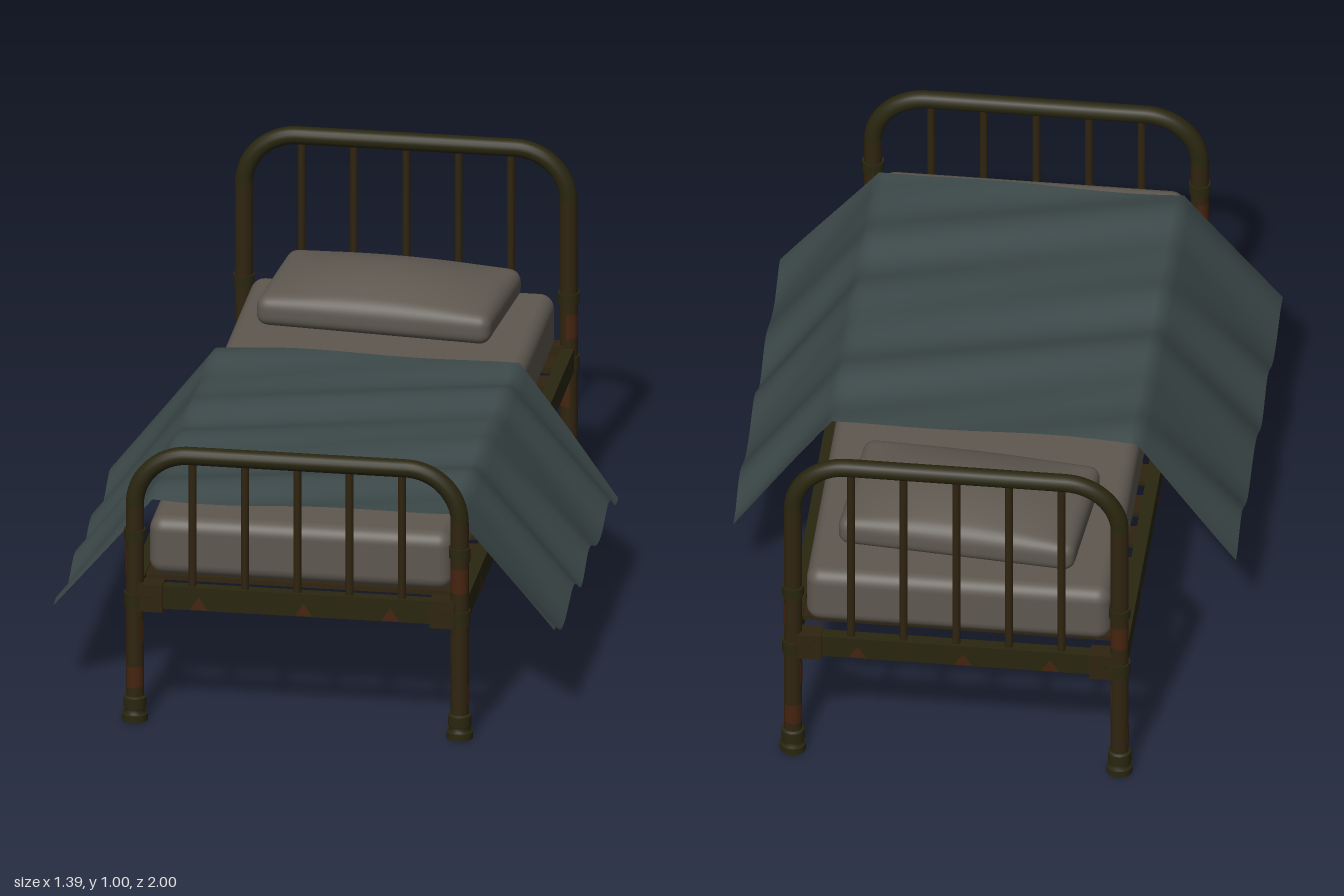
import * as THREE from 'three';
import { mergeVertices } from 'three/addons/utils/BufferGeometryUtils.js';
import { RoundedBoxGeometry } from 'three/addons/geometries/RoundedBoxGeometry.js';

const PX = 0.45, PZ = 0.964, TUBE = 0.025, BEND = 0.15;

export function createModel() {
  const mat = (name, color, side = THREE.FrontSide) => {
    const m = new THREE.MeshStandardMaterial({ color, side });
    m.name = name;
    return m;
  };
  const iron = mat('dark olive iron', 0x29260f);
  const worn = mat('worn brown iron', 0x302410);
  const rust = mat('rust', 0x452410);
  const linen = mat('grey linen', 0x5e5850);
  const wool = mat('slate wool', 0x3c4849, THREE.DoubleSide);

  const bed = new THREE.Group();
  bed.name = 'bed';
  const add = (parent, name, geo, material, x = 0, y = 0, z = 0) => {
    const mesh = new THREE.Mesh(geo, material);
    mesh.name = name;
    mesh.position.set(x, y, z);
    parent.add(mesh);
    return mesh;
  };
  const rod = (r, y0, y1, sides = 20) =>
    new THREE.CylinderGeometry(r, r, y1 - y0, sides).translate(0, (y0 + y1) / 2, 0);

  // Stepped foot profile, turned around the post
  const v = (x, y) => new THREE.Vector2(x, y);
  const footGeo = new THREE.LatheGeometry([
    v(0, 0), v(0.036, 0), v(0.036, 0), v(0.036, 0.02), v(0.036, 0.02), v(0.029, 0.023),
    v(0.029, 0.036), v(0.032, 0.038), v(0.032, 0.038), v(0.032, 0.068), v(0.032, 0.068), v(0.025, 0.072),
  ], 24);

  // Bent tube from one post over to the other
  const hoop = (top) => {
    const p = (x, y) => new THREE.Vector3(x, y, 0);
    const k = BEND * 0.448, s = top - BEND, e = PX - BEND;
    const path = new THREE.CurvePath();
    path.add(new THREE.CubicBezierCurve3(p(-PX, s), p(-PX, top - k), p(-PX + k, top), p(-e, top)));
    path.add(new THREE.LineCurve3(p(-e, top), p(e, top)));
    path.add(new THREE.CubicBezierCurve3(p(e, top), p(PX - k, top), p(PX, top - k), p(PX, s)));
    return new THREE.TubeGeometry(path, 80, TUBE, 16);
  };

  // Head and foot ends, both built facing outward along +z
  const buildEnd = (name, top) => {
    const end = new THREE.Group();
    end.name = name;
    add(end, 'hoop', hoop(top), iron);
    for (const sx of [-1, 1]) {
      const x = sx * PX;
      add(end, 'post', rod(TUBE, 0.05, top - BEND), worn, x);
      add(end, 'foot', footGeo, iron, x);
      add(end, 'upperCollar', rod(0.03, 0.53, 0.56), iron, x);
      add(end, 'lowerCollar', rod(0.03, 0.335, 0.375), iron, x);
      add(end, 'bracket', new THREE.BoxGeometry(0.07, 0.08, 0.05), worn, sx * 0.405, 0.366, 0);
      add(end, 'bolt', new THREE.CylinderGeometry(0.008, 0.008, 0.006, 8).rotateX(Math.PI / 2),
        iron, sx * 0.41, 0.368, 0.027);
      // Rust around the post
      [[0.1, 0.16], [0.23, 0.3], [0.43, 0.5]].forEach(([a, b], i) => {
        const g = new THREE.CylinderGeometry(0.0256, 0.0256, b - a, 12, 1, true, i * 2 + sx, 2.4);
        add(end, 'postRust', g, rust, x, (a + b) / 2);
      });
    }
    for (let i = -2; i <= 2; i++) {
      add(end, 'spindle', rod(0.011, 0.39, top, 12), worn, i * 0.145);
    }
    add(end, 'endRail', new THREE.BoxGeometry(0.86, 0.066, 0.034), iron, 0, 0.368, 0);
    for (const x of [-0.27, 0.02, 0.26]) {
      const g = new THREE.CircleGeometry(0.028, 3, Math.PI / 2).scale(1, 0.9, 1);
      add(end, 'railRust', g, rust, x, 0.35, 0.0175);
    }
    bed.add(end);
    return end;
  };
  buildEnd('footboard', 0.782).position.z = PZ;
  const head = buildEnd('headboard', 0.975);
  head.position.z = -PZ;
  head.rotation.y = Math.PI;

  // Side rails and slats
  for (const sx of [-1, 1]) {
    add(bed, 'sideRail', new THREE.BoxGeometry(0.036, 0.066, 1.9), iron, sx * PX, 0.368, 0);
    for (const z of [-0.6, -0.2, 0.3, 0.7]) {
      const g = new THREE.CircleGeometry(0.028, 3, Math.PI / 2).rotateY(sx * Math.PI / 2);
      add(bed, 'sideRailRust', g, rust, sx * (PX + 0.0185), 0.35, z);
    }
  }
  for (let i = -6; i <= 6; i++) {
    add(bed, 'slat', new THREE.BoxGeometry(0.88, 0.014, 0.08), worn, 0, 0.39, i * 0.141);
  }

  // Mattress
  add(bed, 'mattress', new RoundedBoxGeometry(0.84, 0.17, 1.855, 5, 0.04), linen, 0, 0.49, -0.003);

  // Pillow: rounded block with a domed top
  const size = new THREE.Vector3(0.66, 0.085, 0.4), r = 0.032;
  let pillow = new THREE.BoxGeometry(size.x, size.y, size.z, 56, 10, 36);
  pillow.deleteAttribute('uv');
  pillow.deleteAttribute('normal');
  pillow = mergeVertices(pillow);
  const lim = size.clone().multiplyScalar(0.5).subScalar(r);
  const low = lim.clone().negate();
  const pos = pillow.attributes.position;
  const q = new THREE.Vector3(), core = new THREE.Vector3();
  for (let i = 0; i < pos.count; i++) {
    q.fromBufferAttribute(pos, i);
    core.copy(q).clamp(low, lim);
    q.sub(core).setLength(r).add(core);
    const dome = (1 - (q.x / 0.33) ** 2) * (1 - (q.z / 0.2) ** 2);
    q.y += 0.05 * Math.max(0, dome) * (q.y / size.y + 0.5);
    pos.setXYZ(i, q.x, q.y, q.z);
  }
  pillow.computeVertexNormals();
  add(bed, 'pillow', pillow, linen, 0, 0.638, -0.653).rotation.y = -0.084;

  // Blanket: rippled sheet, flat over the mattress and sloping out at the sides
  const sheet = new THREE.PlaneGeometry(1.386, 1.135, 66, 80).rotateX(-Math.PI / 2).translate(0, 0, 0.28);
  const sp = sheet.attributes.position;
  for (let i = 0; i < sp.count; i++) {
    const x = sp.getX(i), z = sp.getZ(i);
    const out = Math.max(0, Math.abs(x) - 0.42) / 0.273;
    const wave = -Math.cos(20 * (z - 0.05) + 4 * (x - 0.69));
    const ripple = Math.sin(31 * z + 9 * x);
    sp.setY(i, 0.608 - 0.352 * out + (0.008 + 0.017 * out) * wave + 0.005 * ripple);
  }
  sheet.computeVertexNormals();
  add(bed, 'blanket', sheet, wool);

  return bed;
}
